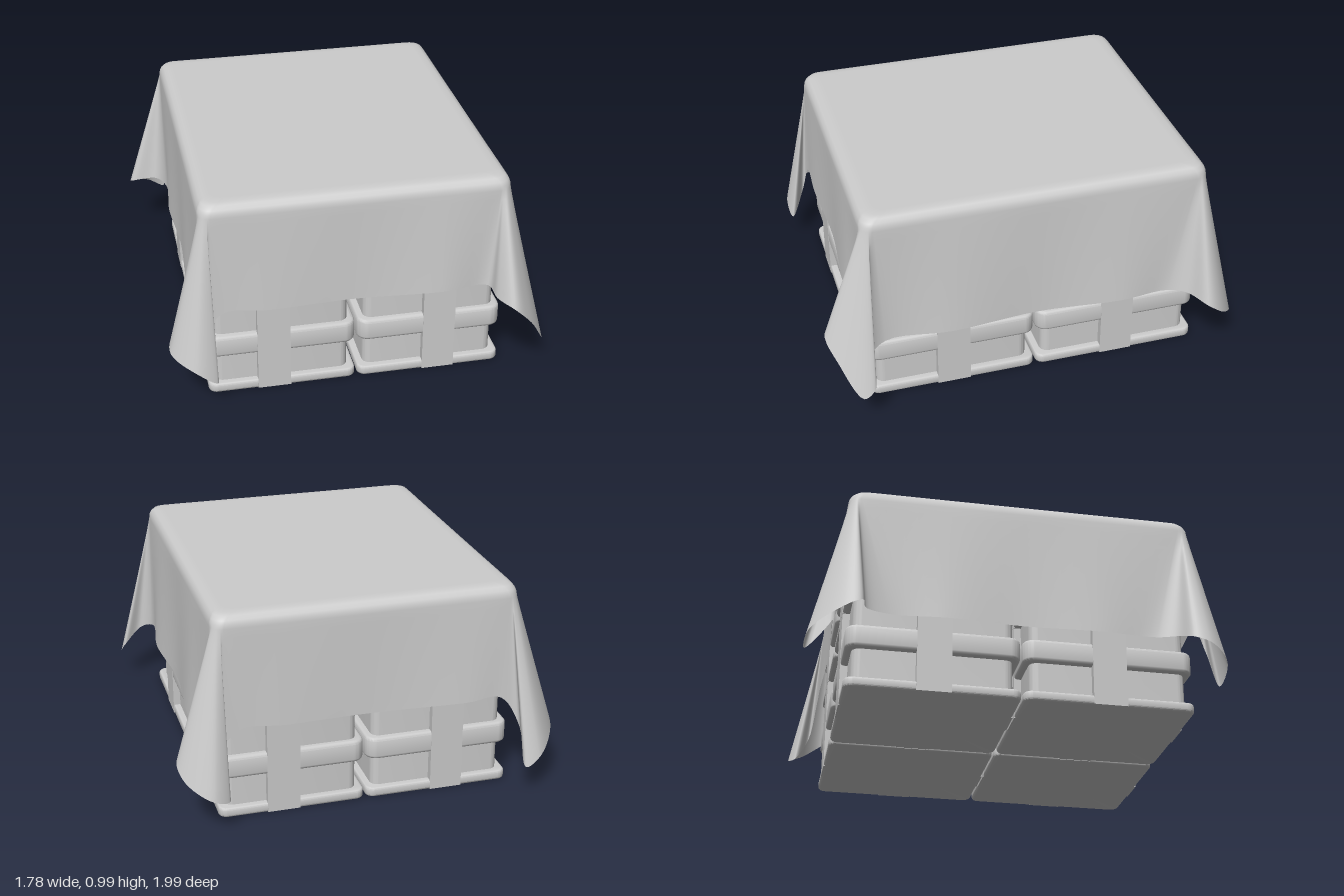
import * as THREE from 'three';
import { toCreasedNormals } from 'three/addons/utils/BufferGeometryUtils.js';

const grey = new THREE.MeshStandardMaterial({ color: 0xcccccc, side: THREE.DoubleSide });
grey.name = 'plain grey';

function add(parent, geometry, name) {
  const mesh = new THREE.Mesh(geometry, grey);
  mesh.name = name;
  parent.add(mesh);
  return mesh;
}

// Rounded-corner slab lying flat, with softly bevelled rims
function slab(w, d, h, r, bevel) {
  const x = w / 2 - bevel, z = d / 2 - bevel;
  const s = new THREE.Shape();
  s.moveTo(-x + r, -z);
  s.lineTo(x - r, -z).absarc(x - r, -z + r, r, -Math.PI / 2, 0);
  s.lineTo(x, z - r).absarc(x - r, z - r, r, 0, Math.PI / 2);
  s.lineTo(-x + r, z).absarc(-x + r, z - r, r, Math.PI / 2, Math.PI);
  s.lineTo(-x, -z + r).absarc(-x + r, -z + r, r, Math.PI, Math.PI * 1.5);
  const g = new THREE.ExtrudeGeometry(s, {
    depth: h - 2 * bevel, bevelEnabled: bevel > 0, bevelSize: bevel,
    bevelThickness: bevel, bevelSegments: 3, curveSegments: 6,
  });
  g.rotateX(-Math.PI / 2).translate(0, bevel, 0);
  return toCreasedNormals(g, 0.7);
}

// Crate: base, inset body, raised band and flush upright straps
function crate(x0, x1, z0, z1, strapX, height) {
  const g = new THREE.Group();
  g.name = 'crate';
  const w = x1 - x0, d = z1 - z0;
  add(g, slab(w, d, 0.045, 0.03, 0.01), 'base');
  add(g, slab(w - 0.065, d - 0.065, height - 0.02, 0.04, 0), 'body').position.y = 0.02;
  add(g, slab(w, d, 0.105, 0.04, 0.015), 'band').position.y = 0.195;
  const sx = strapX - (x0 + x1) / 2;
  add(g, new THREE.BoxGeometry(0.153, height - 0.002, d + 0.004), 'frontBackStrap')
    .position.set(sx, height / 2, 0);
  add(g, new THREE.BoxGeometry(w + 0.004, height - 0.002, 0.158), 'sideStrap')
    .position.set(0, height / 2, 0);
  g.position.set((x0 + x1) / 2, 0, (z0 + z1) / 2);
  return g;
}

// Hem points around each corner, counterclockwise seen from above
const corners = [
  { sx: 1, sz: 1, start: 0, hem: [[0.62, 0.45, 0.835], [0.64, 0.43, 0.92], [0.70, 0.41, 1.0], [0.80, 0.30, 0.96],
    [0.89, 0.15, 0.87], [0.88, 0.2, 0.81], [0.79, 0.29, 0.82], [0.735, 0.335, 0.73]] },
  { sx: 1, sz: -1, start: 1, hem: [[0.75, 0.345, -0.63], [0.79, 0.34, -0.72], [0.89, 0.32, -0.79], [0.87, 0.25, -0.88],
    [0.76, 0.18, -0.96], [0.68, 0.16, -0.93], [0.73, 0.30, -0.86], [0.62, 0.45, -0.835]] },
  { sx: -1, sz: -1, start: 2, hem: [[-0.62, 0.45, -0.835], [-0.71, 0.30, -0.86], [-0.70, 0.15, -0.98], [-0.78, 0.20, -0.97],
    [-0.88, 0.28, -0.83], [-0.88, 0.32, -0.75], [-0.76, 0.34, -0.72], [-0.71, 0.345, -0.60]] },
  { sx: -1, sz: 1, start: 3, hem: [[-0.71, 0.345, 0.62], [-0.75, 0.34, 0.71], [-0.84, 0.30, 0.76], [-0.85, 0.27, 0.84],
    [-0.75, 0.22, 0.94], [-0.65, 0.15, 0.93], [-0.70, 0.28, 0.86], [-0.62, 0.45, 0.835]] },
];
// Gentle ripples along the straight hems, following each corner
const edges = [
  [[0.765, 0.345, 0.42], [0.735, 0.345, 0], [0.765, 0.345, -0.4]],
  [[0.4, 0.45, -0.835], [0, 0.45, -0.825], [-0.45, 0.45, -0.845]],
  [[-0.725, 0.345, -0.35], [-0.705, 0.345, 0], [-0.72, 0.345, 0.35]],
  [[-0.4, 0.45, 0.84], [0, 0.45, 0.825], [0.4, 0.45, 0.85]],
];

// Cloth: rings running from the middle of the top, over the rounded edge, down to the hem
function clothGeometry() {
  const hem = [], shoulder = [];
  const V = (x, y, z) => new THREE.Vector3(x, y, z);
  corners.forEach((c, k) => {
    c.hem.forEach((p, i) => {
      const a = Math.PI / 2 * (1 - c.start - i / 7);
      hem.push(V(...p));
      shoulder.push(V(c.sx * 0.65 + 0.01 + 0.06 * Math.cos(a), 0.93, c.sz * 0.755 + 0.06 * Math.sin(a)));
    });
    edges[k].forEach((p) => {
      hem.push(V(...p));
      const onSide = k % 2 === 0;
      shoulder.push(onSide ? V(Math.sign(p[0]) * 0.71 + 0.01, 0.93, p[2])
        : V(p[0], 0.93, Math.sign(p[2]) * 0.815));
    });
  });
  const hemCurve = new THREE.CatmullRomCurve3(hem, true);
  const topCurve = new THREE.CatmullRomCurve3(shoulder, true);
  const n = hem.length * 6;
  // Each top row: scale towards the middle, and height
  const top = [[0, 0.99], [0.5, 0.99], [0.9, 0.99], [0.945, 0.988], [0.97, 0.981], [0.988, 0.965], [0.997, 0.948]];
  const fall = 12, rows = top.length + fall + 1;
  const pos = [], index = [];
  for (let i = 0; i < rows; i++) {
    for (let j = 0; j < n; j++) {
      const s = topCurve.getPoint(j / n);
      if (i < top.length) pos.push(s.x * top[i][0], top[i][1], s.z * top[i][0]);
      else pos.push(...s.lerp(hemCurve.getPoint(j / n), (i - top.length) / fall).toArray());
      if (i === rows - 1) continue;
      const a = i * n + j, b = i * n + (j + 1) % n;
      if (i > 0) index.push(a, a + n, b);
      index.push(b, a + n, b + n);
    }
  }
  const g = new THREE.BufferGeometry();
  g.setAttribute('position', new THREE.Float32BufferAttribute(pos, 3));
  g.setIndex(index);
  g.computeVertexNormals();
  return g;
}

export function createModel() {
  const model = new THREE.Group();
  model.name = 'coveredCrates';
  // Two layers of four crates
  for (const [y, height] of [[0, 0.46], [0.46, 0.48]]) {
    for (const [z0, z1] of [[0.005, 0.8], [-0.8, -0.005]]) {
      for (const [x0, x1, strapX] of [[-0.68, 0.01, -0.375], [0.02, 0.705, 0.405]]) {
        const c = crate(x0, x1, z0, z1, strapX, height);
        c.position.y = y;
        model.add(c);
      }
    }
  }
  add(model, clothGeometry(), 'drapedCloth');
  return model;
}
